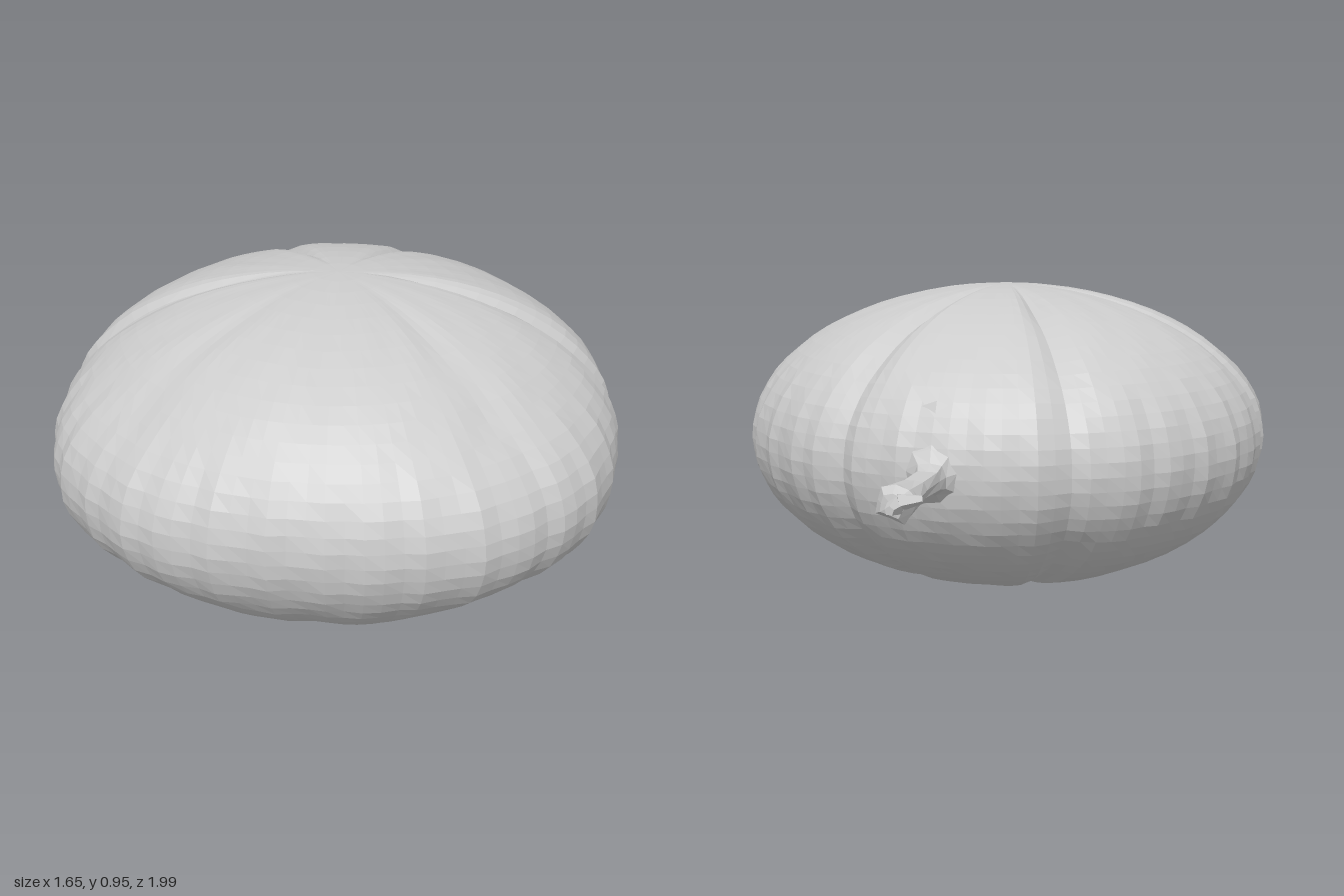
import * as THREE from 'three';

const CENTRE = new THREE.Vector3(0, 0.475, 0.19);

// radial creases: [x, z direction from the centre, depth, angular width]
const CREASES = [
  [0.81, -0.04, 0.045, 0.07],
  [-0.81, 0.03, 0.045, 0.07],
  [-0.37, -0.69, 0.045, 0.07],
  [0.28, -0.72, 0.045, 0.07],
  [0.55, 0.6, 0.02, 0.12],
  [0.0, 0.8, 0.012, 0.08],
  [-0.57, 0.6, 0.015, 0.1],
].map(([x, z, depth, width]) => ({ angle: Math.atan2(z, x), depth, width }));

function angleGap(a, b) {
  return Math.abs(Math.atan2(Math.sin(a - b), Math.cos(a - b)));
}

// Flattened, lobed fruit with a finely scalloped rim
function makeBody(material) {
  const geometry = new THREE.SphereGeometry(1, 104, 36);
  const pos = geometry.attributes.position;
  const v = new THREE.Vector3();
  for (let i = 0; i < pos.count; i++) {
    v.fromBufferAttribute(pos, i);
    const ring = Math.hypot(v.x, v.z);
    const angle = Math.atan2(v.z, v.x);
    const fade = THREE.MathUtils.smoothstep(ring, 0.05, 0.5);
    const rim = THREE.MathUtils.smoothstep(ring, 0.8, 1);

    let cut = 0;
    for (const c of CREASES) {
      const d = angleGap(angle, c.angle) / c.width;
      cut += c.depth * (1 - 0.4 * rim) * Math.exp(-d * d);
    }
    // front half is slightly fuller at its corners
    const full = v.z > 0 ? 0.06 * rim * (v.x * v.z) ** 2 * 4 : 0;
    const scallop = 0.006 * rim * Math.sin(angle * 38);
    const rough = 0.003 * Math.sin(angle * 17 + v.y * 9) * Math.sin(v.y * 13 + angle * 5);
    const k = 1 + full + fade * (scallop + rough - cut);
    pos.setXYZ(i, v.x * 0.822 * k, v.y * 0.475 * k, v.z * 0.8 * k);
  }
  geometry.computeVertexNormals();
  const body = new THREE.Mesh(geometry, material);
  body.name = 'fruitBody';
  body.position.copy(CENTRE);
  return body;
}

// Angular stalk growing out of the back, flared at the base and knobbly at the end
function makeStem(material) {
  const profile = [
    [0.2, 0.54], [0.13, 0.572], [0.08, 0.6], [0.05, 0.63], [0.038, 0.67],
    [0.037, 0.78], [0.05, 0.89], [0.056, 0.92], [0.035, 0.945], [0, 0.95],
  ].map(([r, z]) => new THREE.Vector2(r, z));
  const geometry = new THREE.LatheGeometry(profile, 9);
  geometry.rotateX(-Math.PI / 2);
  const pos = geometry.attributes.position;
  for (let i = 0; i < pos.count; i++) {
    const x = pos.getX(i), y = pos.getY(i), z = pos.getZ(i);
    const along = THREE.MathUtils.smoothstep(-z, 0.58, 0.68);
    const ridge = 1 + along * 0.16 * Math.cos(Math.atan2(y, x) * 4 + z * 5);
    pos.setXYZ(i, x * ridge - 0.016 * along, y * ridge * (1 - 0.12 * along), z);
  }
  geometry.computeVertexNormals();
  const stem = new THREE.Mesh(geometry, material);
  stem.name = 'stem';
  return stem;
}

// Small pointed bit left where the stalk was cut
function makeSpike(name, from, to, radius, material) {
  const a = new THREE.Vector3(...from), b = new THREE.Vector3(...to);
  const dir = b.clone().sub(a);
  const geometry = new THREE.CylinderGeometry(radius * 0.45, radius, dir.length(), 5);
  const spike = new THREE.Mesh(geometry, material);
  spike.name = name;
  spike.position.copy(a).add(b).multiplyScalar(0.5);
  spike.quaternion.setFromUnitVectors(new THREE.Vector3(0, 1, 0), dir.normalize());
  return spike;
}

export function createModel() {
  const material = new THREE.MeshStandardMaterial({ color: 0xcccccc, flatShading: true });
  const model = new THREE.Group();
  model.name = 'squash';

  const stalk = new THREE.Group();
  stalk.name = 'stalk';
  stalk.position.y = 0.48;
  stalk.add(
    makeStem(material),
    makeSpike('stemTip', [-0.025, 0, -0.93], [-0.027, 0, -1], 0.028, material),
    makeSpike('stemBarb', [-0.03, 0.01, -0.945], [-0.085, 0.015, -0.92], 0.025, material),
  );
  model.add(makeBody(material), stalk);
  return model;
}
